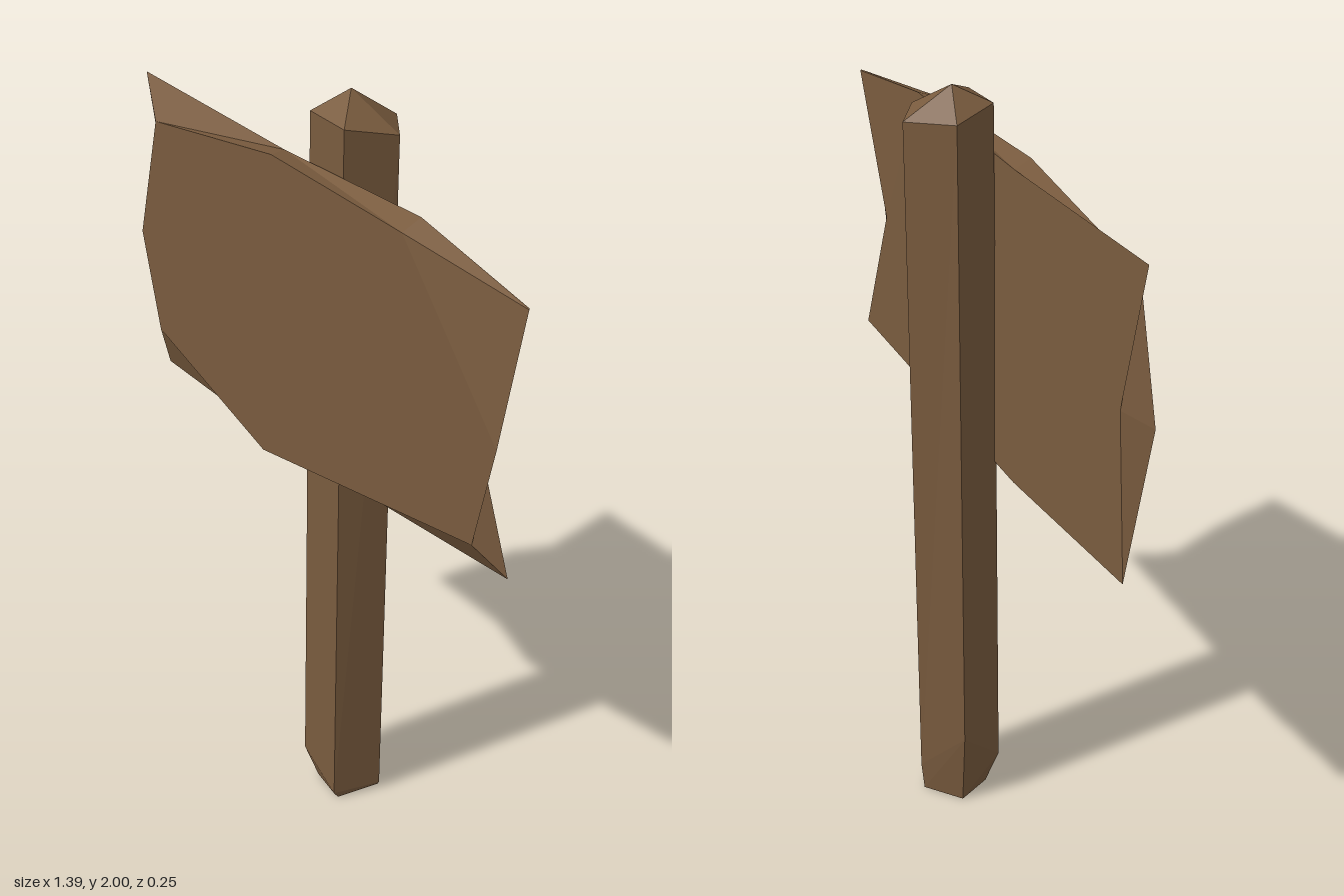
import * as THREE from 'three';

const { ShapeUtils, Vector2 } = THREE;

// Faceted mesh from shared points and triangle indices
function facetMesh(points, index, material, name) {
  const indexed = new THREE.BufferGeometry();
  indexed.setAttribute('position', new THREE.Float32BufferAttribute(points.flat(), 3));
  indexed.setIndex(index);
  const geometry = indexed.toNonIndexed();
  geometry.computeVertexNormals();
  const mesh = new THREE.Mesh(geometry, material);
  mesh.name = name;
  return mesh;
}

// Five-sided post: rings from bottom to top, closed by a flat foot and a pointed tip
function makePost(material) {
  const rings = [
    [[0.055, 0, 0.075], [0.09, 0.01, -0.035], [0.0, 0, -0.10], [-0.09, 0, -0.03], [-0.05, 0, 0.06]],
    [[0.055, 0.02, 0.088], [0.095, 0.02, -0.036], [0.004, 0.08, -0.107], [-0.11, 0.22, -0.035], [-0.072, 0.1, 0.088]],
    [[0.073, 1.95, 0.066], [0.118, 1.92, -0.055], [0.023, 1.92, -0.125], [-0.085, 1.935, -0.045], [-0.048, 1.955, 0.066]],
  ];
  const points = [...rings.flat(), [-0.01, 0, -0.01], [-0.007, 2, -0.018]];
  const index = [];
  for (let i = 0; i < 5; i++) {
    const j = (i + 1) % 5;
    for (const r of [0, 5]) index.push(r + i, r + j, r + 5 + j, r + i, r + 5 + j, r + 5 + i);
    index.push(15, j, i, 16, 10 + i, 10 + j);
  }
  return facetMesh(points, index, material, 'post');
}

// Rough-hewn board: matching front and back outlines, clockwise from upper -x corner
function makeBoard(material) {
  const front = [
    [-0.59, 1.76, 0.123], [-0.12, 1.84, 0.123], [0.34, 1.825, 0.123], [0.695, 1.78, 0.085], [0.66, 1.44, 0.123],
    [0.595, 1.16, 0.123], [-0.18, 1.02, 0.123], [-0.62, 1.17, 0.123], [-0.68, 1.43, 0.123],
  ];
  const back = [
    [-0.70, 1.84, 0.07], [-0.14, 1.83, 0.07], [0.34, 1.845, 0.07], [0.69, 1.78, 0.08], [0.53, 1.44, 0.07],
    [0.66, 1.08, 0.07], [-0.16, 1.02, 0.07], [-0.665, 1.035, 0.07], [-0.62, 1.46, 0.07],
  ];
  const n = front.length;
  const index = [];

  // Adds a flat cap, turned to face the wanted z direction
  const addCap = (points, ids, offset, facing) => {
    const outline = ids.map((i) => new Vector2(points[i][0], points[i][1]));
    for (const t of ShapeUtils.triangulateShape(outline, [])) {
      const turn = ShapeUtils.area(t.map((k) => outline[k]));
      const tri = t.map((k) => ids[k] + offset);
      index.push(...(turn * facing > 0 ? tri : tri.reverse()));
    }
  };
  const all = front.map((_, i) => i);
  addCap(front, all.filter((i) => i !== 3), 0, 1);
  addCap(front, [2, 3, 4], 0, 1); // chipped corner
  addCap(back, all, n, -1);

  // Bevelled rim; the diagonal flips where the chisel cut turns
  for (let i = 0; i < n; i++) {
    const j = (i + 1) % n, a = i, b = j, c = n + j, d = n + i;
    if (i === 0 || i === 5) index.push(a, c, d, a, b, c);
    else index.push(a, b, d, d, b, c);
  }
  return facetMesh([...front, ...back], index, material, 'board');
}

export function createModel() {
  const wood = new THREE.MeshStandardMaterial({ color: 0x795b3e });
  wood.name = 'brown wood';
  const sign = new THREE.Group();
  sign.name = 'woodenSign';
  sign.add(makePost(wood), makeBoard(wood));
  return sign;
}
